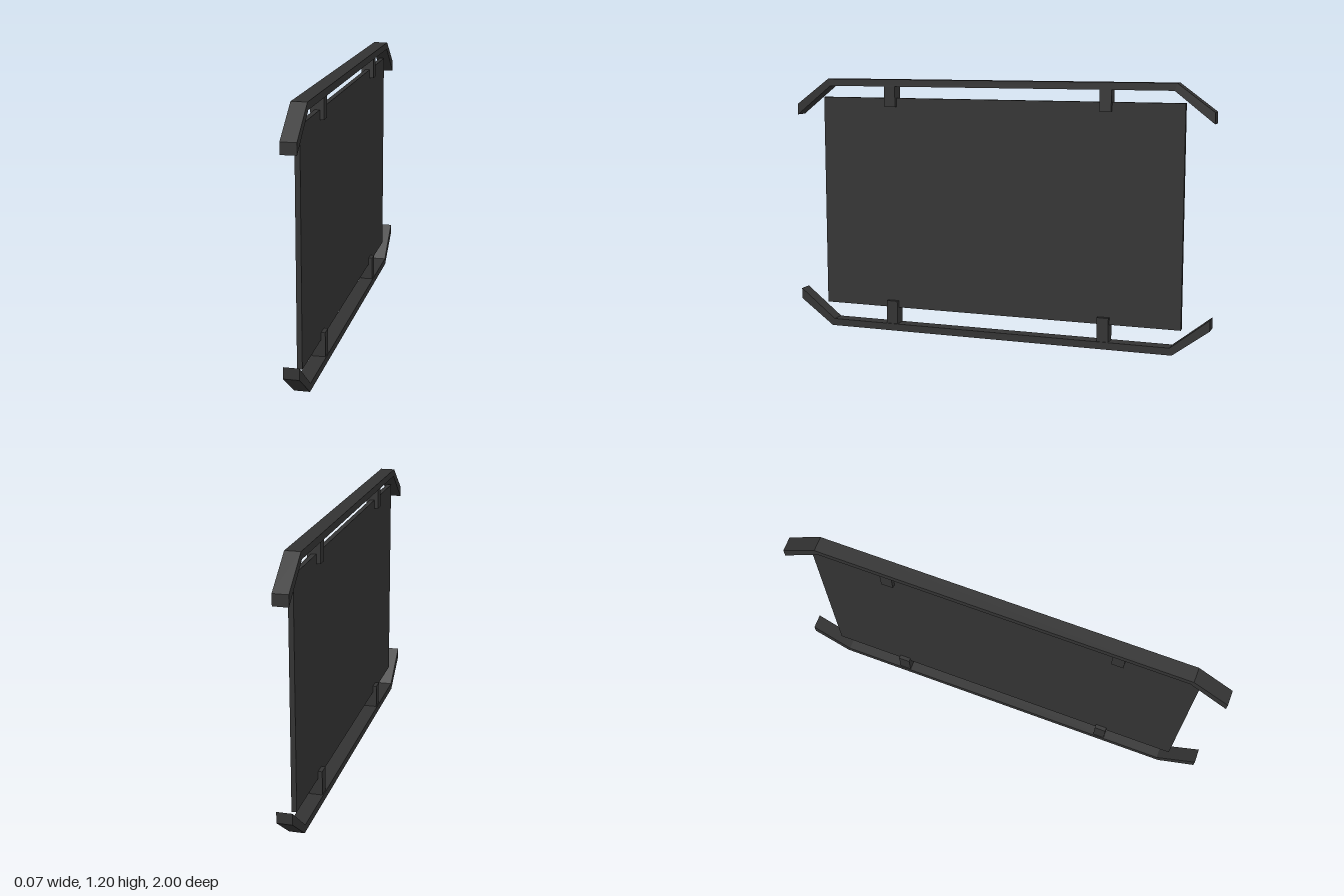
import * as THREE from 'three';

const HEIGHT = 1.195;
const material = new THREE.MeshStandardMaterial({ color: 0x333333, flatShading: true });

function addBox(group, name, size, position) {
  const mesh = new THREE.Mesh(new THREE.BoxGeometry(...size), material);
  mesh.name = name;
  mesh.position.set(...position);
  group.add(mesh);
}

// Flat bar along z with both ends bent towards the panel, cut off vertically
function railGeometry(top) {
  const half = [[0.835, 0], [1, 0.122], [1, 0.172], [0.824, 0.033]];
  const outline = [...half, ...half.map(([z, y]) => [-z, y]).reverse()];
  const shape = new THREE.Shape(
    outline.map(([z, y]) => new THREE.Vector2(z, top ? HEIGHT - y : y)));
  const geometry = new THREE.ExtrudeGeometry(shape, { depth: 0.067, bevelEnabled: false });
  geometry.translate(0, 0, -0.0335);
  geometry.rotateY(Math.PI / 2);
  return geometry;
}

export function createModel() {
  const group = new THREE.Group();

  // Thin rectangular panel
  addBox(group, 'panel', [0.022, 0.998, 1.738], [0, 0.609, 0]);

  for (const top of [false, true]) {
    const prefix = top ? 'top' : 'bottom';
    const rail = new THREE.Mesh(railGeometry(top), material);
    rail.name = prefix + 'Rail';
    group.add(rail);

    // Clips joining the rail to the panel edge
    const [low, high] = top ? [1.067, 1.165] : [0.03, 0.143];
    for (const side of [-1, 1]) {
      addBox(group, prefix + (side > 0 ? 'FrontClip' : 'BackClip'),
        [0.058, high - low, 0.054], [0, (low + high) / 2, side * 0.518]);
    }
  }
  return group;
}
